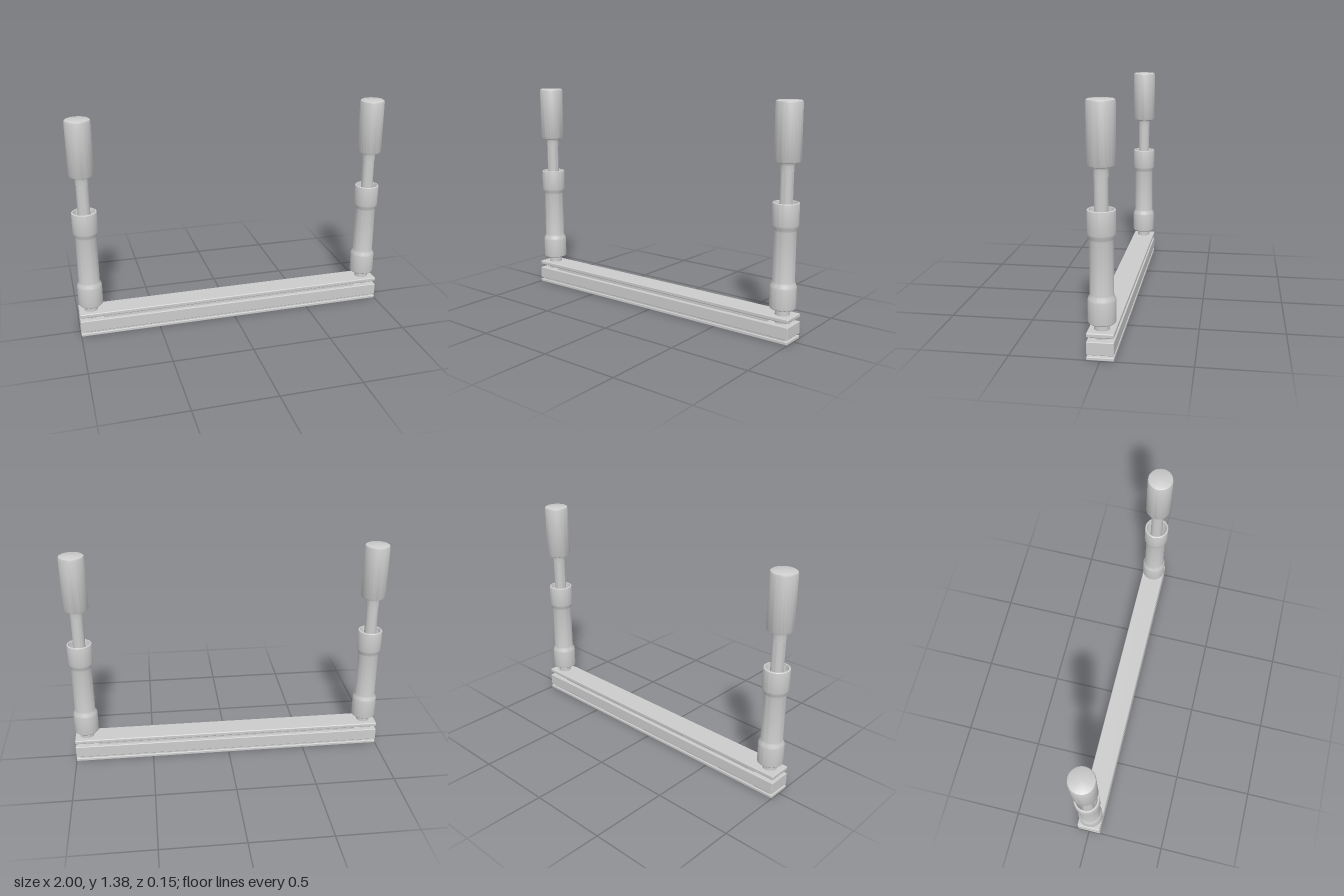
import * as THREE from 'three';
import { toCreasedNormals } from 'three/addons/utils/BufferGeometryUtils.js';
import { RoundedBoxGeometry } from 'three/addons/geometries/RoundedBoxGeometry.js';

const material = new THREE.MeshStandardMaterial({ color: 0xcccccc });

// Revolved part from [radius, height] pairs, listed with the outside going up
function turned(name, profile) {
  const points = profile.map(([r, y]) => new THREE.Vector2(r, y));
  const geometry = toCreasedNormals(new THREE.LatheGeometry(points, 48), 0.6);
  const mesh = new THREE.Mesh(geometry, material);
  mesh.name = name;
  return mesh;
}

// Horizontal bar spanning y0..y1, with softly rounded edges
function bar(name, halfX, y0, y1, halfZ, radius) {
  const geometry = new RoundedBoxGeometry(halfX * 2, y1 - y0, halfZ * 2, 2, radius);
  const mesh = new THREE.Mesh(geometry, material);
  mesh.name = name;
  mesh.position.y = (y0 + y1) / 2;
  return mesh;
}

// One upright: rod, hollow flared sleeve and rounded handle
function createUpright(name, x) {
  const upright = new THREE.Group();
  upright.name = name;
  upright.position.x = x;

  upright.add(turned('footCollar', [
    [0, 0.1], [0.043, 0.1], [0.043, 0.22], [0, 0.22],
  ]));
  upright.add(turned('rod', [
    [0, 0.2], [0.038, 0.2], [0.038, 1.06], [0, 1.06],
  ]));
  upright.add(turned('sleeve', [
    [0.064, 0.192], [0.072, 0.192], [0.076, 0.196], [0.077, 0.202],
    [0.077, 0.318], [0.075, 0.328], [0.067, 0.344], [0.065, 0.354],
    [0.065, 0.648], [0.067, 0.658], [0.075, 0.674], [0.077, 0.684],
    [0.077, 0.804], [0.076, 0.809], [0.072, 0.812], [0.066, 0.812],
    [0.064, 0.808], [0.064, 0.69], [0.053, 0.65],
    [0.053, 0.35], [0.064, 0.315], [0.064, 0.192],
  ]));
  upright.add(turned('handleCollar', [
    [0, 0.985], [0.04, 0.985], [0.04, 1.02], [0.042, 1.033], [0.05, 1.044], [0, 1.044],
  ]));
  upright.add(turned('handle', [
    [0, 1.038], [0.066, 1.038], [0.073, 1.041], [0.077, 1.05],
    [0.077, 1.368], [0.074, 1.377], [0.067, 1.381], [0, 1.382],
  ]));
  return upright;
}

export function createModel() {
  const model = new THREE.Group();
  model.name = 'twinHandleBar';

  // Layered base with inset strips between the plates
  model.add(bar('bottomPlate', 1, 0, 0.019, 0.075, 0.004));
  model.add(bar('lowerInset', 0.975, 0.012, 0.04, 0.066, 0.001));
  model.add(bar('mainBeam', 1, 0.03, 0.105, 0.075, 0.004));
  model.add(bar('upperInset', 0.85, 0.1, 0.135, 0.052, 0.001));
  model.add(bar('topPlate', 1, 0.128, 0.153, 0.075, 0.006));

  // Matching uprights at both ends
  model.add(createUpright('leftUpright', 0.923));
  model.add(createUpright('rightUpright', -0.923));
  return model;
}
